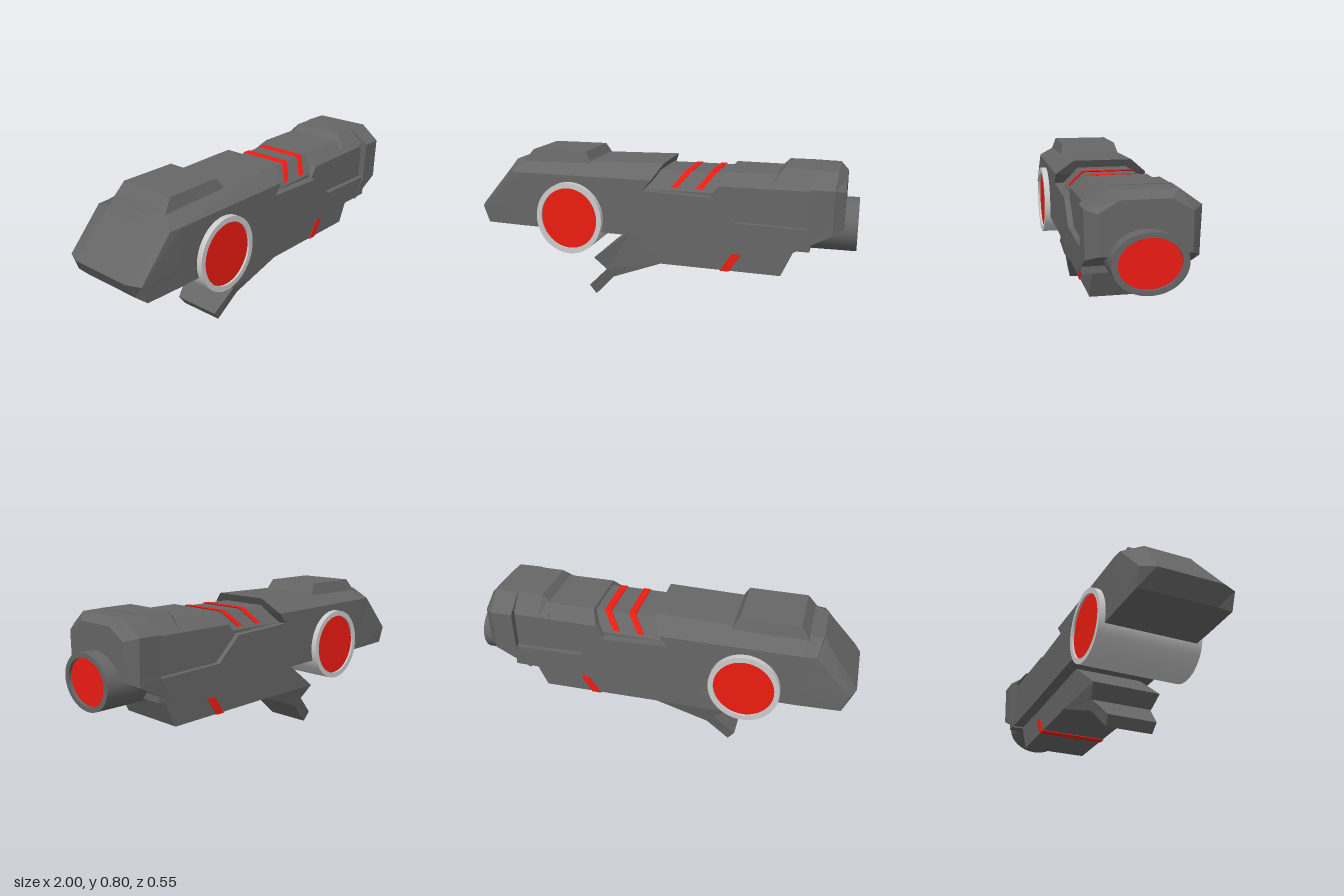
import * as THREE from 'three';

const mat = (color, smooth) => new THREE.MeshStandardMaterial({ color, flatShading: !smooth });
const DARK = 0x666666, RED = 0xee1c12, GREY = 0xcccccc;

// Lofts mirrored cross-sections; each is a half outline of [x, y, z] points from bottom to top.
function loft(halves) {
  const rings = halves.map(h => [...h, ...h.map(([x, y, z]) => [x, y, -z]).reverse()]);
  const n = rings[0].length, pos = [];
  const quad = (a, b, c, d) => pos.push(...a, ...b, ...c, ...a, ...c, ...d);
  for (let i = 0; i < rings.length - 1; i++) {
    for (let j = 0; j < n; j++) {
      const k = (j + 1) % n;
      quad(rings[i][j], rings[i + 1][j], rings[i + 1][k], rings[i][k]);
    }
  }
  const first = rings[0], last = rings[rings.length - 1];
  for (let j = 0; j < n / 2 - 1; j++) {
    quad(first[j], first[j + 1], first[n - 2 - j], first[n - 1 - j]);
    quad(last[n - 1 - j], last[n - 2 - j], last[j + 1], last[j]);
  }
  const geo = new THREE.BufferGeometry();
  geo.setAttribute('position', new THREE.Float32BufferAttribute(pos, 3));
  geo.computeVertexNormals();
  return geo;
}

export function createModel() {
  const model = new THREE.Group();
  model.name = 'handheldDevice';
  const add = (name, geo, color, smooth = false, parent = model) => {
    const mesh = new THREE.Mesh(geo, mat(color, smooth));
    mesh.name = name;
    parent.add(mesh);
    return mesh;
  };

  // Front shell with sloping nose and slanted rear edge
  add('frontShell', loft([
    [[-0.945, 0.405, 0.16], [-1, 0.495, 0.17], [-0.84, 0.70, 0.13], [-0.815, 0.735, 0.11]],
    [[-0.94, 0.405, 0.24], [-0.97, 0.495, 0.242], [-0.79, 0.69, 0.24], [-0.81, 0.74, 0.125]],
    [[-0.73, 0.40, 0.245], [-0.73, 0.495, 0.245], [-0.73, 0.69, 0.245], [-0.73, 0.747, 0.155]],
    [[-0.065, 0.39, 0.245], [-0.065, 0.63, 0.245], [-0.02, 0.685, 0.245], [0.025, 0.76, 0.155]],
  ]), DARK);

  // Raised plate on top of the front shell
  add('topPlate', loft([
    [[-0.75, 0.735, 0.17], [-0.70, 0.80, 0.153]],
    [[-0.365, 0.74, 0.17], [-0.40, 0.80, 0.153]],
  ]), DARK);

  // Side flanks that drop in a step below the recess
  add('flanks', loft([
    [[-0.065, 0.39, 0.245], [-0.065, 0.63, 0.245]],
    [[0.28, 0.38, 0.245], [0.28, 0.615, 0.245]],
    [[0.41, 0.375, 0.245], [0.41, 0.495, 0.245]],
    [[0.78, 0.375, 0.245], [0.78, 0.485, 0.245]],
  ]), DARK);

  // Recessed core carrying the two coloured bands
  add('recessedCore', loft([-0.1, 0.4].map(x =>
    [[x, 0.42, 0.2], [x, 0.63, 0.2], [x, 0.72, 0.13]])), DARK);
  for (const dx of [0, 0.13]) {
    add('topBand', loft([0, 0.034].map(w =>
      [[0.073 + dx + w, 0.645, 0.194], [0.135 + dx + w, 0.725, 0.132]])), RED);
  }

  // Rear housing and its raised top
  add('rearHousing', loft([
    [[0.28, 0.42, 0.218], [0.28, 0.615, 0.218], [0.32, 0.67, 0.218], [0.35, 0.733, 0.155]],
    [[0.80, 0.42, 0.218], [0.80, 0.615, 0.218], [0.80, 0.67, 0.218], [0.80, 0.73, 0.155]],
  ]), DARK);
  add('rearRise', loft([
    [[0.58, 0.68, 0.222], [0.60, 0.73, 0.14]],
    [[0.635, 0.685, 0.222], [0.635, 0.765, 0.14]],
    [[0.80, 0.685, 0.222], [0.80, 0.765, 0.14]],
  ]), DARK);

  // End collar, cut away underneath and chamfered at the end
  add('endCollar', loft([
    [[0.70, 0.365, 0.245], [0.77, 0.485, 0.25], [0.77, 0.685, 0.255], [0.77, 0.763, 0.15]],
    [[0.885, 0.465, 0.25], [0.885, 0.52, 0.25], [0.885, 0.685, 0.255], [0.895, 0.76, 0.15]],
    [[0.935, 0.49, 0.205], [0.935, 0.53, 0.205], [0.935, 0.67, 0.205], [0.935, 0.725, 0.11]],
  ]), DARK);

  // Oval barrel with coloured lens
  const barrel = new THREE.Group();
  barrel.name = 'barrel';
  barrel.position.set(0, 0.468, -0.005);
  barrel.scale.set(1, 0.135, 0.167);
  model.add(barrel);
  const profile = [[0, 0.7], [1, 0.7], [1, 1], [0.83, 1], [0.83, 0.985], [0, 0.985]];
  const tube = [];
  for (let i = 0; i < profile.length - 1; i++) {
    const pts = [profile[i], profile[i + 1]].map(p => new THREE.Vector2(...p));
    tube.push(new THREE.LatheGeometry(pts, 48).rotateZ(-Math.PI / 2));
  }
  tube.slice(0, 4).forEach(g => add('barrelWall', g, DARK, true, barrel));
  add('lens', tube[4], RED, true, barrel);

  // Round side drum running through the body, with a coloured disc in each rim
  const drum = new THREE.Group();
  drum.name = 'sideDrum';
  drum.position.set(-0.46, 0.464, 0);
  drum.scale.set(0.95, 1, 1);
  model.add(drum);
  add('drumWall', new THREE.CylinderGeometry(0.19, 0.19, 0.55, 48, 1, true).rotateX(Math.PI / 2), GREY, true, drum);
  for (const s of [1, -1]) {
    const turn = s > 0 ? 0 : Math.PI;
    const rim = add('drumRim', new THREE.RingGeometry(0.162, 0.19, 48), GREY, true, drum);
    const disc = add('drumDisc', new THREE.CircleGeometry(0.163, 48), RED, true, drum);
    const lip = add('drumLip', new THREE.CylinderGeometry(0.162, 0.162, 0.012, 48, 1, true).rotateX(Math.PI / 2), GREY, true, drum);
    lip.material.side = THREE.DoubleSide;
    rim.position.z = s * 0.275;
    disc.position.z = s * 0.264;
    lip.position.z = s * 0.269;
    rim.rotation.y = disc.rotation.y = turn;
  }

  // Lower block with its coloured band
  add('lowerBlock', loft([
    [[-0.295, 0.165, 0.165], [-0.36, 0.23, 0.182]],
    [[0.01, 0.23, 0.185], [-0.14, 0.40, 0.185]],
    [[0.64, 0.22, 0.185], [0.71, 0.375, 0.185]],
  ]), DARK);
  add('lowerBand', loft([0, 0.048].map(w =>
    [[0.33 + w, 0.22, 0.188], [0.39 + w, 0.315, 0.188]])), RED);

  // Tapering tail blade under the front
  add('tailBlade', loft([
    [[-0.375, 0, 0.122], [-0.41, 0.05, 0.13]],
    [[-0.26, 0.12, 0.15], [-0.295, 0.165, 0.16]],
    [[0.01, 0.228, 0.183], [-0.05, 0.28, 0.183]],
  ]), DARK);

  return model;
}
